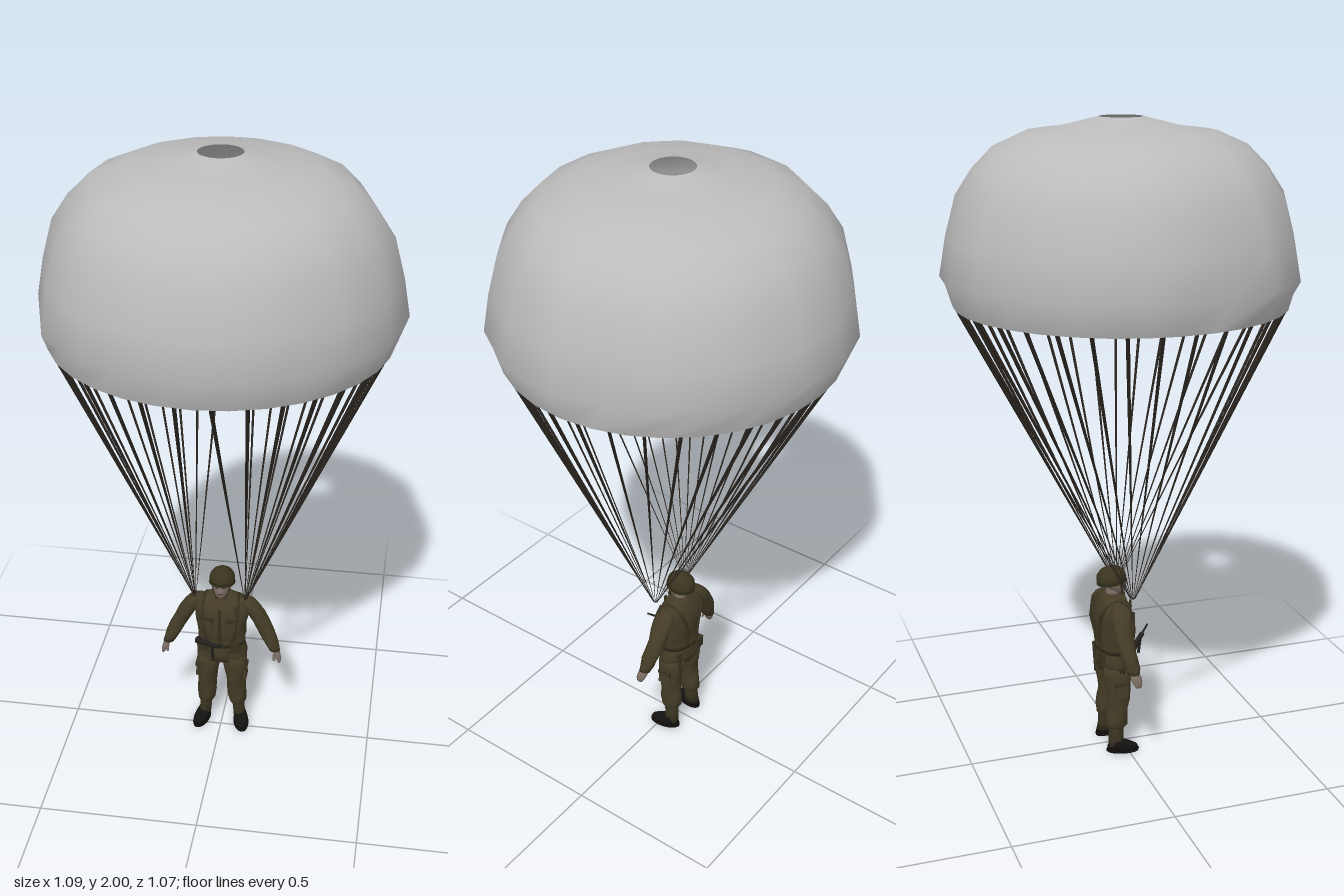
import * as THREE from 'three';

const mat = (name, hex, side = THREE.FrontSide) => {
  const m = new THREE.MeshStandardMaterial({ color: hex, side });
  m.name = name;
  return m;
};

// Builds a surface from rings of [x, y, z] points, listed bottom to top
function skin(rings, caps) {
  const n = rings[0].length, pos = rings.flat(2), idx = [];
  for (let j = 0; j < rings.length - 1; j++) {
    for (let i = 0; i < n; i++) {
      const a = j * n + i, b = j * n + (i + 1) % n;
      idx.push(a, a + n, b, b, a + n, b + n);
    }
  }
  if (caps) {
    const last = (rings.length - 1) * n, c = rings.length * n;
    for (const ring of [rings[0], rings.at(-1)]) {
      for (let k = 0; k < 3; k++) pos.push(ring.reduce((s, p) => s + p[k], 0) / n);
    }
    for (let i = 0; i < n; i++) {
      const k = (i + 1) % n;
      idx.push(c, i, k, c + 1, last + k, last + i);
    }
  }
  const g = new THREE.BufferGeometry();
  g.setAttribute('position', new THREE.Float32BufferAttribute(pos, 3));
  g.setIndex(idx);
  g.computeVertexNormals();
  return g;
}

// Oval loft through sections [x, y, z, radiusX, radiusZ], with optional cloth folds
function loft(sections, fold = 0, sides = 16) {
  return skin(sections.map(([x, y, z, rx, rz], j) =>
    Array.from({ length: sides }, (_, i) => {
      const a = i / sides * Math.PI * 2;
      const f = 1 + fold * Math.sin(a * 3 + j * 2.1) + fold * 0.6 * Math.sin(a * 5 - j * 1.7);
      return [x + rx * f * Math.cos(a), y, z + rz * f * Math.sin(a)];
    })), true);
}

export function createModel() {
  const model = new THREE.Group();
  model.name = 'parachutist';
  const canopyMat = mat('canopy grey', 0xbcbcbc, THREE.DoubleSide);
  const lineMat = mat('line dark brown', 0x2c2620);
  const cloth = mat('uniform olive', 0x443c27);
  const trim = mat('webbing olive', 0x383220);
  const helmetMat = mat('helmet green', 0x3a351f);
  const flesh = mat('skin', 0x7d6e66);
  const black = mat('boot black', 0x141210);
  const metal = mat('gun metal', 0x232220);

  const add = (name, geo, material, parent = model) => {
    const m = new THREE.Mesh(geo, material);
    m.name = name;
    parent.add(m);
    return m;
  };
  const box = (name, size, at, material, parent, rot = [0, 0, 0]) => {
    const m = add(name, new THREE.BoxGeometry(...size), material, parent);
    m.position.set(...at);
    m.rotation.set(...rot);
    return m;
  };
  const rod = (name, from, to, r0, r1, material, parent, sides = 8) => {
    const a = new THREE.Vector3(...from), b = new THREE.Vector3(...to);
    const d = b.clone().sub(a);
    const m = add(name, new THREE.CylinderGeometry(r1, r0, d.length(), sides), material, parent);
    m.position.copy(a).addScaledVector(d, 0.5);
    m.quaternion.setFromUnitVectors(new THREE.Vector3(0, 1, 0), d.normalize());
    return m;
  };
  const ball = (name, at, r, material, parent) => {
    const m = add(name, new THREE.SphereGeometry(1, 16, 12), material, parent);
    m.position.set(...at);
    m.scale.set(...r);
    return m;
  };

  // Canopy: round hem, slightly uneven sixteen-sided dome, open vent on top
  const half = [0, 33, 55, 78, 96, 113, 136, 158];
  const angles = [...half, ...half.map(a => a + 180), 360].map(a => a * Math.PI / 180);
  const profile = [[0.508, 1.456, 0], [0.544, 1.545, 1], [0.523, 1.66, 0.9], [0.49, 1.78, 0.9],
    [0.44, 1.855, 0.9], [0.378, 1.917, 0.9], [0.29, 1.956, 0.9], [0.2, 1.966, 0.6], [0.065, 1.999, 0]];
  const canopyRings = profile.map(([r, y, flat]) => Array.from({ length: 32 }, (_, k) => {
    const a0 = angles[k >> 1], a1 = angles[(k >> 1) + 1];
    const odd = k % 2;
    const uneven = odd ? (a0 + a1) / 2 : a0, even = k / 16 * Math.PI;
    const a = even + (uneven - even) * flat;
    const rr = odd ? r * (1 - flat * (1 - Math.cos((a1 - a0) / 2))) : r;
    return [rr * Math.cos(a), y, -rr * Math.sin(a) * 0.985];
  }).reverse());
  add('canopy', skin(canopyRings, false), canopyMat);

  // Suspension lines: thirty-two tapering cords gathered above each shoulder
  const lines = new THREE.Group();
  lines.name = 'suspensionLines';
  model.add(lines);
  for (let k = 0; k < 32; k++) {
    const a = (k + 0.5) / 16 * Math.PI;
    const x = Math.cos(a), z = Math.sin(a), s = Math.sign(x);
    rod('suspensionLine', [s * 0.08 + x * 0.006, 0.53, 0.012 + z * 0.008],
      [x * 0.501, 1.462, z * 0.494], 0.0007, 0.0062, lineMat, lines, 4);
  }

  const man = new THREE.Group();
  man.name = 'soldier';
  model.add(man);

  // Jacket with flared skirt, belt and collar
  add('jacket', loft([
    [0, 0.275, -0.028, 0.08, 0.05], [0, 0.3, -0.028, 0.085, 0.055], [0, 0.33, -0.027, 0.079, 0.053],
    [0, 0.35, -0.026, 0.075, 0.051], [0, 0.375, -0.025, 0.08, 0.055], [0, 0.41, -0.026, 0.083, 0.058],
    [0, 0.45, -0.027, 0.089, 0.059], [0, 0.48, -0.028, 0.094, 0.054], [0, 0.5, -0.031, 0.083, 0.043],
    [0, 0.515, -0.033, 0.05, 0.031], [0, 0.526, -0.032, 0.03, 0.026]], 0.03, 24), cloth, man);
  add('belt', loft([[0, 0.338, -0.026, 0.079, 0.056], [0, 0.356, -0.026, 0.078, 0.055]], 0, 24), trim, man);
  box('buckle', [0.018, 0.016, 0.006], [0, 0.347, 0.03], metal, man);
  box('jacketPlacket', [0.01, 0.13, 0.006], [0, 0.425, 0.031], trim, man);
  for (let i = 0; i < 4; i++) ball('button', [0, 0.38 + i * 0.03, 0.035], [0.003, 0.003, 0.002], metal, man);

  for (const s of [-1, 1]) {
    const side = new THREE.Group();
    side.name = s > 0 ? 'leftSide' : 'rightSide';
    man.add(side);

    // Jacket details
    box('collar', [0.034, 0.018, 0.008], [s * 0.02, 0.512, 0.003], cloth, side, [-0.5, s * 0.3, s * -0.6]);
    box('chestPocket', [0.042, 0.046, 0.008], [s * 0.042, 0.432, 0.026], cloth, side, [0, s * 0.35, 0]);
    box('chestPocketFlap', [0.044, 0.014, 0.01], [s * 0.042, 0.45, 0.027], trim, side, [0, s * 0.35, 0]);
    box('skirtPocket', [0.04, 0.036, 0.008], [s * 0.045, 0.308, 0.019], cloth, side, [0, s * 0.4, 0]);
    box('skirtPocketFlap', [0.042, 0.011, 0.01], [s * 0.045, 0.323, 0.02], trim, side, [0, s * 0.4, 0]);
    box('beltPouch', [0.026, 0.03, 0.014], [s * 0.05, 0.347, 0.021], trim, side, [0, s * 0.6, 0]);
    // Shoulder harness running over to the back
    add('harnessStrap', new THREE.TubeGeometry(new THREE.CatmullRomCurve3([
      [0.04, 0.35, 0.024], [0.053, 0.42, 0.024], [0.057, 0.485, 0.007], [0.053, 0.512, -0.03],
      [0.05, 0.485, -0.075], [0.03, 0.42, -0.08], [0.025, 0.35, -0.075],
    ].map(p => new THREE.Vector3(p[0] * s, p[1], p[2]))), 24, 0.006, 6), trim, side);

    // Arm held out from the body, with hand and thumb
    const arm = pts => pts.map(([x, ...rest]) => [x * s, ...rest]);
    add('sleeve', loft(arm([
      [0.178, 0.32, -0.018, 0.017, 0.019], [0.17, 0.336, -0.02, 0.021, 0.023], [0.159, 0.36, -0.024, 0.025, 0.026],
      [0.147, 0.39, -0.03, 0.027, 0.028], [0.13, 0.42, -0.033, 0.028, 0.03], [0.113, 0.45, -0.033, 0.03, 0.032],
      [0.097, 0.478, -0.032, 0.03, 0.033], [0.083, 0.497, -0.031, 0.027, 0.029], [0.07, 0.507, -0.031, 0.018, 0.018]],
    ), 0.05), cloth, side);
    add('hand', loft(arm([
      [0.195, 0.279, -0.008, 0.004, 0.009], [0.192, 0.291, -0.01, 0.009, 0.015],
      [0.186, 0.307, -0.014, 0.011, 0.017], [0.178, 0.325, -0.018, 0.011, 0.013]]), 0, 10), flesh, side);
    rod('thumb', [s * 0.178, 0.311, 0], [s * 0.178, 0.291, 0.007], 0.005, 0.0035, flesh, side);

    // Trouser leg bloused over the boot
    add('trouserLeg', loft([
      [s * 0.054, 0.078, -0.034, 0.02, 0.024], [s * 0.053, 0.09, -0.033, 0.029, 0.034],
      [s * 0.051, 0.115, -0.032, 0.032, 0.037], [s * 0.05, 0.145, -0.03, 0.031, 0.035],
      [s * 0.049, 0.175, -0.026, 0.032, 0.036], [s * 0.047, 0.21, -0.025, 0.035, 0.04],
      [s * 0.044, 0.25, -0.027, 0.039, 0.045], [s * 0.041, 0.29, -0.028, 0.041, 0.047]], 0.045), cloth, side);
    box('thighPocket', [0.009, 0.05, 0.044], [s * 0.079, 0.22, -0.025], cloth, side, [0, 0, s * 0.08]);
    box('thighPocketFlap', [0.011, 0.013, 0.046], [s * 0.081, 0.239, -0.025], trim, side, [0, 0, s * 0.08]);

    // Boot: olive ankle, black shoe and sole
    add('bootAnkle', loft([
      [s * 0.061, 0.02, -0.037, 0.021, 0.026], [s * 0.057, 0.045, -0.037, 0.02, 0.024],
      [s * 0.054, 0.09, -0.035, 0.021, 0.025]], 0.02), trim, side);
    const foot = new THREE.Group();
    foot.name = 'boot';
    foot.position.set(s * 0.067, 0, -0.017);
    foot.rotation.y = s * 0.22;
    side.add(foot);
    add('sole', loft([[0, 0, 0, 0.025, 0.052], [0, 0.008, 0, 0.026, 0.053]]), black, foot);
    add('shoe', loft([[0, 0.007, 0, 0.025, 0.051], [0, 0.02, -0.001, 0.024, 0.048],
      [0, 0.031, -0.01, 0.02, 0.034], [0, 0.038, -0.018, 0.016, 0.022]]), black, foot);
  }

  // Head, neck and face
  add('neck', loft([[0, 0.505, -0.03, 0.021, 0.022], [0, 0.55, -0.026, 0.02, 0.022]]), flesh, man);
  add('head', loft([
    [0, 0.521, -0.002, 0.01, 0.01], [0, 0.528, -0.008, 0.018, 0.02], [0, 0.54, -0.016, 0.025, 0.03],
    [0, 0.557, -0.021, 0.029, 0.036], [0, 0.575, -0.024, 0.031, 0.037], [0, 0.59, -0.026, 0.026, 0.032]]), flesh, man);
  box('nose', [0.007, 0.014, 0.009], [0, 0.556, 0.017], flesh, man, [-0.3, 0, 0]);
  box('mouth', [0.014, 0.002, 0.004], [0, 0.541, 0.014], lineMat, man);
  for (const s of [-1, 1]) {
    ball('eye', [s * 0.011, 0.565, 0.0115], [0.005, 0.003, 0.003], lineMat, man);
    ball('ear', [s * 0.03, 0.557, -0.026], [0.004, 0.01, 0.007], flesh, man);
    rod('chinStrap', [s * 0.034, 0.58, -0.014], [s * 0.018, 0.526, -0.002], 0.0035, 0.0035, trim, man);
  }
  box('chinCup', [0.036, 0.006, 0.014], [0, 0.524, 0.001], trim, man);

  // Helmet dome, lower at the nape, with a thin rim
  const helmet = new THREE.Group();
  helmet.name = 'helmet';
  helmet.position.set(0, 0.573, -0.032);
  helmet.rotation.x = -0.14;
  man.add(helmet);
  add('helmetDome', loft([
    [0, -0.012, 0, 0.041, 0.047], [0, 0.004, 0, 0.042, 0.048], [0, 0.018, 0, 0.039, 0.045],
    [0, 0.031, 0, 0.029, 0.034], [0, 0.039, 0, 0.016, 0.019], [0, 0.042, 0, 0.004, 0.005]], 0, 24),
  helmetMat, helmet);
  const rim = add('helmetRim', new THREE.TorusGeometry(0.041, 0.002, 6, 28), helmetMat, helmet);
  rim.position.y = -0.01;
  rim.rotation.x = Math.PI / 2;
  rim.scale.y = 1.15;

  // Canteen and scabbard
  box('canteen', [0.032, 0.038, 0.014], [-0.04, 0.32, -0.077], trim, man);
  rod('scabbard', [0.055, 0.235, -0.068], [0.058, 0.335, -0.07], 0.005, 0.009, trim, man);

  // Short gun slung across the waist, muzzle forward
  const gun = new THREE.Group();
  gun.name = 'gun';
  man.add(gun);
  rod('gunStock', [-0.075, 0.352, 0.012], [-0.04, 0.362, 0.04], 0.013, 0.008, metal, gun);
  rod('gunBody', [-0.045, 0.361, 0.036], [-0.01, 0.373, 0.068], 0.008, 0.008, metal, gun);
  rod('gunBarrel', [-0.012, 0.372, 0.066], [0.015, 0.392, 0.095], 0.004, 0.003, metal, gun);
  rod('gunMagazine', [-0.018, 0.37, 0.06], [-0.018, 0.312, 0.053], 0.005, 0.005, metal, gun, 4);
  rod('gunSling', [-0.06, 0.357, 0.026], [0.055, 0.495, 0.012], 0.003, 0.003, trim, gun, 6);

  return model;
}
